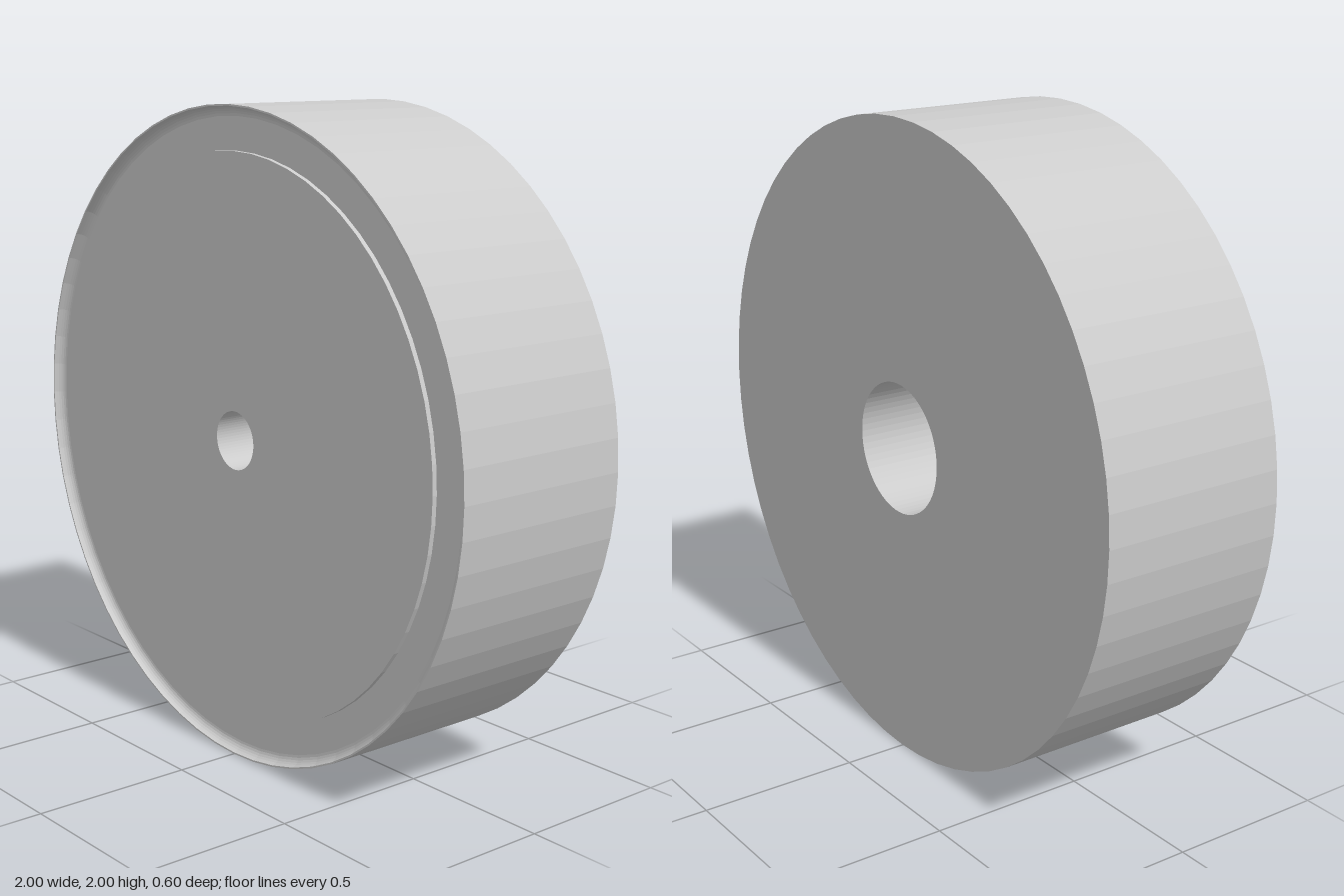
import * as THREE from 'three';

export function createModel() {
  const group = new THREE.Group();
  group.name = 'disc';
  const SIDES = 64;
  const half = 0.3;
  const fillet = 0.03;
  const lipRadius = 0.995;

  // Half section as [radius, depth], from the back bore floor round to the front hole floor
  const profile = [
    [0, 0], [0.205, 0], [0.205, -half], // blind bore in the back
    [1, -half], [1, half], // outer wall
  ];

  // Thin lip with a concave fillet down to the rim
  for (let i = 0; i <= 6; i++) {
    const a = (i / 6) * Math.PI / 2;
    profile.push([lipRadius - fillet + fillet * Math.cos(a), half - fillet * Math.sin(a)]);
  }

  // Raised centre plate and blind pilot hole
  profile.push([0.865, half - fillet], [0.865, 0.285], [0.09, 0.285], [0.09, 0.03], [0, 0.03]);

  const geometry = new THREE.LatheGeometry(profile.map(([r, z]) => new THREE.Vector2(r, z)), SIDES);
  geometry.rotateX(Math.PI / 2);
  geometry.translate(0, 1, 0);

  const body = new THREE.Mesh(
    geometry,
    new THREE.MeshStandardMaterial({ color: 0xcccccc, flatShading: true })
  );
  body.name = 'discBody';
  group.add(body);
  return group;
}
